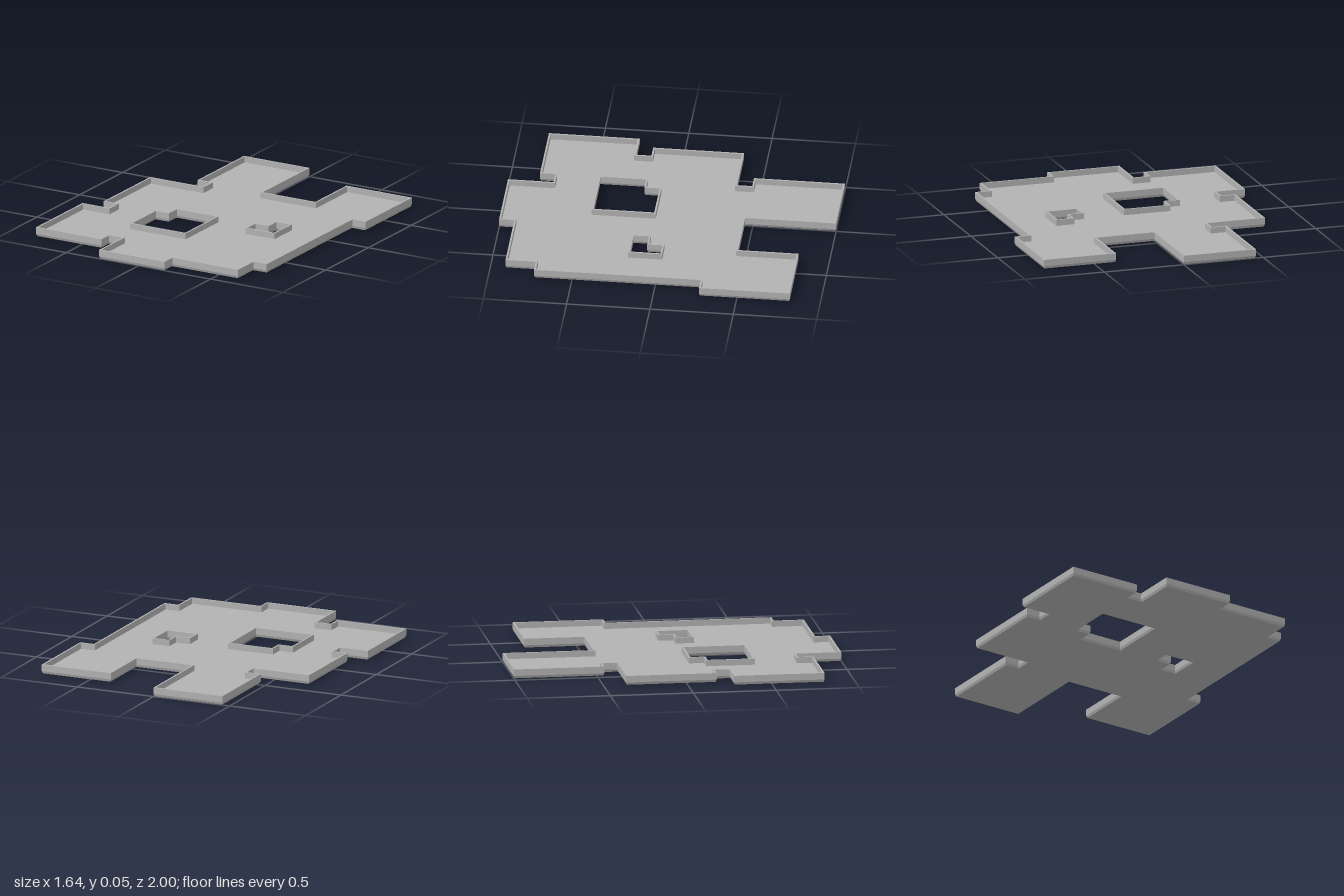
import * as THREE from 'three';

const CELL = 1 / 11; // all corners sit on a square grid
const HEIGHT = 0.055, FLOOR = 0.019, RIM = 0.011, CHAMFER = 0.006;

// Plan corners in cells (x, z); the outline runs clockwise from above, holes the other way
const outline = [
  [-5, -11], [0, -11], [0, -5], [4, -5], [4, -9], [9, -9], [9, -3], [8, -3], [8, 8],
  [7, 8], [7, 10], [2, 10], [2, 11], [-3, 11], [-3, 8], [-4, 8], [-4, 9], [-9, 9],
  [-9, 3], [-7, 3], [-7, 2], [-8, 2], [-8, -4], [-4, -4], [-4, -5], [-5, -5],
];
const largeHole = [[-3, 1], [0, 1], [0, 5], [-4, 5], [-4, 2], [-3, 2]].reverse();
const smallHole = [[4, 0], [5, 0], [5, 2], [3, 2], [3, 1], [4, 1]].reverse();

// Moves a right-angled loop into the material by d
function inset(loop, d) {
  const n = loop.length;
  const normal = (a, b) => [-Math.sign(b[1] - a[1]), Math.sign(b[0] - a[0])];
  return loop.map((p, i) => {
    const n1 = normal(loop[(i + n - 1) % n], p);
    const n2 = normal(p, loop[(i + 1) % n]);
    return [p[0] * CELL + d * (n1[0] + n2[0]), p[1] * CELL + d * (n1[1] + n2[1])];
  });
}

// Sweeps the wall section [inset, y] around a loop with mitred corners
function wallGeometry(loop) {
  const section = [[CHAMFER, 0], [0, 0.015], [0, HEIGHT], [RIM, HEIGHT], [RIM, FLOOR]];
  const rings = section.map(([d, y]) => inset(loop, d).map(([x, z]) => [x, y, z]));
  const pos = [];
  for (let k = 0; k < rings.length - 1; k++) {
    for (let i = 0; i < loop.length; i++) {
      const j = (i + 1) % loop.length;
      const a = rings[k][i], b = rings[k][j], c = rings[k + 1][j], d = rings[k + 1][i];
      pos.push(...a, ...d, ...c, ...a, ...c, ...b);
    }
  }
  const g = new THREE.BufferGeometry();
  g.setAttribute('position', new THREE.Float32BufferAttribute(pos, 3));
  g.computeVertexNormals();
  return g;
}

// Flat plate with both holes, facing up (side = 1) or down (side = -1)
function plateGeometry(d, y, side) {
  const points = (loop) => inset(loop, d).map(([x, z]) => new THREE.Vector2(x, -side * z));
  const shape = new THREE.Shape(points(outline));
  shape.holes = [largeHole, smallHole].map((h) => new THREE.Path(points(h)));
  return new THREE.ShapeGeometry(shape).rotateX(-side * Math.PI / 2).translate(0, y, 0);
}

export function createModel() {
  const group = new THREE.Group();
  group.name = 'tray';
  const grey = new THREE.MeshStandardMaterial({ color: 0xb2b2b2 });
  grey.name = 'grey';
  const add = (name, geometry) => {
    const mesh = new THREE.Mesh(geometry, grey);
    mesh.name = name;
    group.add(mesh);
  };

  // Rims around the outside and both openings
  add('outerRim', wallGeometry(outline));
  add('largeHoleRim', wallGeometry(largeHole));
  add('smallHoleRim', wallGeometry(smallHole));

  // Recessed floor and underside
  add('floor', plateGeometry(RIM, FLOOR, 1));
  add('underside', plateGeometry(CHAMFER, 0, -1));
  return group;
}
